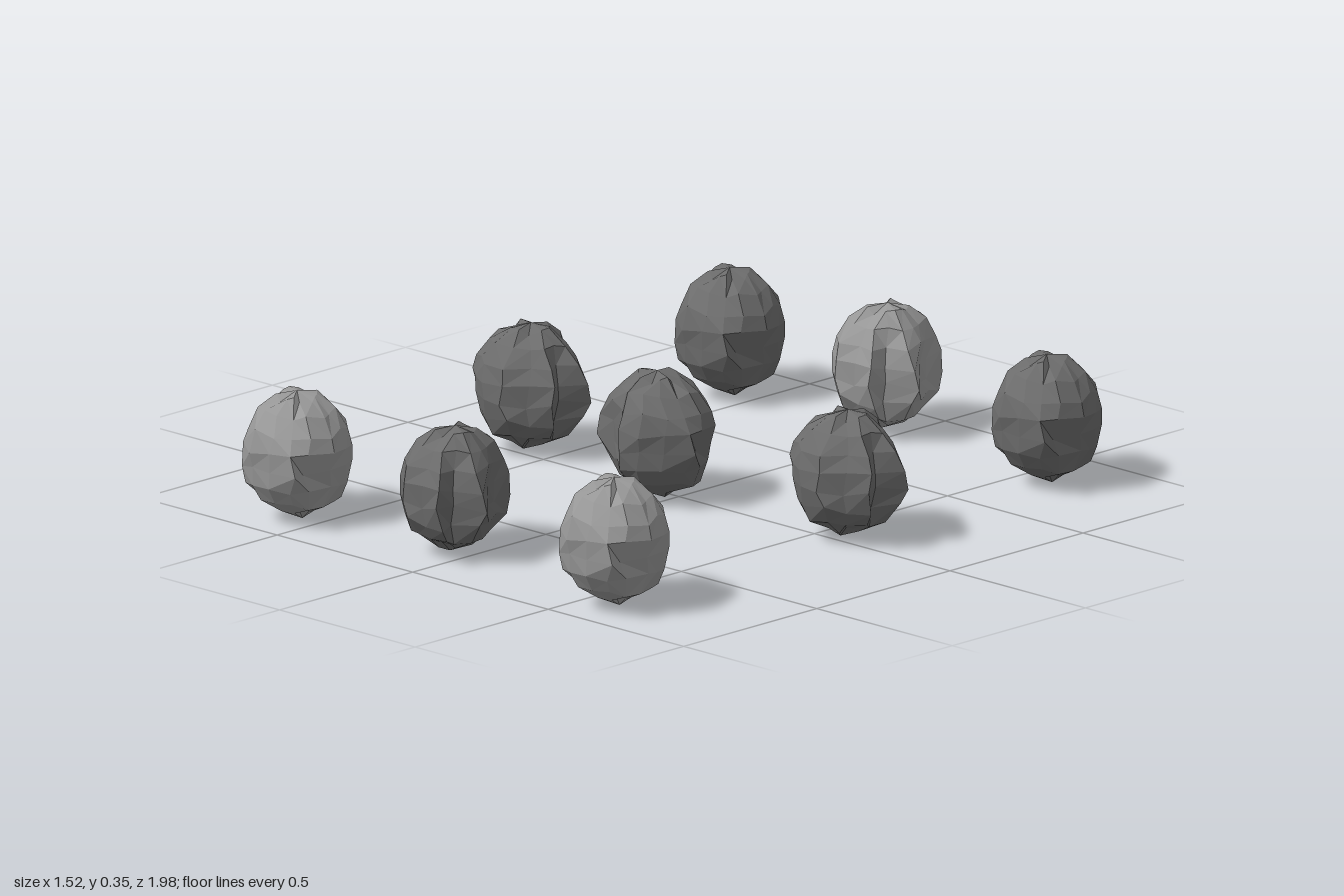
import * as THREE from 'three';

// Plan outline of the boulder at its widest: [x, z], with two jagged spikes at the back left
const OUTLINE = [
  [0.159, 0.021], [0.135, 0.095], [0.111, 0.138], [0.045, 0.15], [-0.026, 0.153], [-0.085, 0.116],
  [-0.09, 0.053], [-0.116, 0.005], [-0.164, -0.063], [-0.09, -0.1], [-0.09, -0.153], [-0.02, -0.142],
  [0.053, -0.138], [0.116, -0.09], [0.142, -0.04],
];

// Rings from bottom to top: [height, scale, how strongly the jagged outline shows]
const RINGS = [
  [0.003, 0, 0], [0.03, 0.32, 0.2], [0.062, 0.74, 0.5], [0.11, 0.92, 0.7], [0.16, 0.99, 0.95],
  [0.21, 1, 1], [0.26, 0.9, 0.7], [0.305, 0.69, 0.5], [0.337, 0.37, 0.3], [0.35, 0, 0],
];

function seeded(seed) {
  return () => {
    seed = (seed * 16807) % 2147483647;
    return seed / 2147483647 - 0.5;
  };
}

// Faceted boulder lofted through irregular rings
function boulderGeometry() {
  const rand = seeded(4711);
  const n = OUTLINE.length;
  const last = RINGS.length - 1;
  const rows = RINGS.map(([y, scale, jag], i) => OUTLINE.map(([x, z]) => {
    const a = Math.atan2(z, x);
    const r = THREE.MathUtils.lerp(0.152, Math.hypot(x, z), jag);
    const pole = i === 0 || i === last;
    const k = scale * r * (1 + (i === 5 ? 0 : rand() * 0.13));
    const turn = pole || i === 5 ? 0 : rand() * 0.16;
    const lift = pole ? 0 : rand() * 0.02;
    const shift = i === 0 ? 0.02 : 0; // small tip under the rock sits off centre
    return new THREE.Vector3(Math.cos(a + turn) * k + shift, y + lift, Math.sin(a + turn) * k);
  }));

  const points = [];
  for (let i = 0; i < last; i++) {
    for (let j = 0; j < n; j++) {
      const k = (j + 1) % n;
      const [a, b, c, d] = [rows[i][j], rows[i + 1][j], rows[i + 1][k], rows[i][k]];
      if (i === 0) points.push(a, b, c);
      else if (i === last - 1) points.push(a, b, d);
      else if (rand() > 0) points.push(a, b, c, a, c, d);
      else points.push(a, b, d, b, c, d);
    }
  }
  const geometry = new THREE.BufferGeometry().setFromPoints(points);
  geometry.computeVertexNormals();
  return geometry;
}

export function createModel() {
  const model = new THREE.Group();
  model.name = 'boulderField';

  const darkStone = new THREE.MeshStandardMaterial({ color: 0x6c6c6c });
  darkStone.name = 'darkStone';
  const lightStone = new THREE.MeshStandardMaterial({ color: 0x979797 });
  lightStone.name = 'lightStone';
  darkStone.flatShading = lightStone.flatShading = true;

  const geometry = boulderGeometry();
  const turned = THREE.MathUtils.degToRad(-145);

  // Three rows of three: [name, x, z, turn, material]
  const layout = [
    ['backRightBoulder', -0.585, -0.786, 0, darkStone],
    ['backMiddleBoulder', -0.055, -0.839, Math.PI, lightStone],
    ['backLeftBoulder', 0.585, -0.786, 0, darkStone],
    ['centreRightBoulder', -0.593, -0.047, turned, darkStone],
    ['centreBoulder', -0.04, 0.04, turned + Math.PI, darkStone],
    ['centreLeftBoulder', 0.577, -0.047, turned, darkStone],
    ['frontRightBoulder', -0.585, 0.839, 0, lightStone],
    ['frontMiddleBoulder', -0.055, 0.784, Math.PI, darkStone],
    ['frontLeftBoulder', 0.585, 0.839, 0, lightStone],
  ];
  for (const [name, x, z, turn, material] of layout) {
    const boulder = new THREE.Mesh(geometry, material);
    boulder.name = name;
    boulder.position.set(x, 0, z);
    boulder.rotation.y = turn;
    model.add(boulder);
  }
  return model;
}
